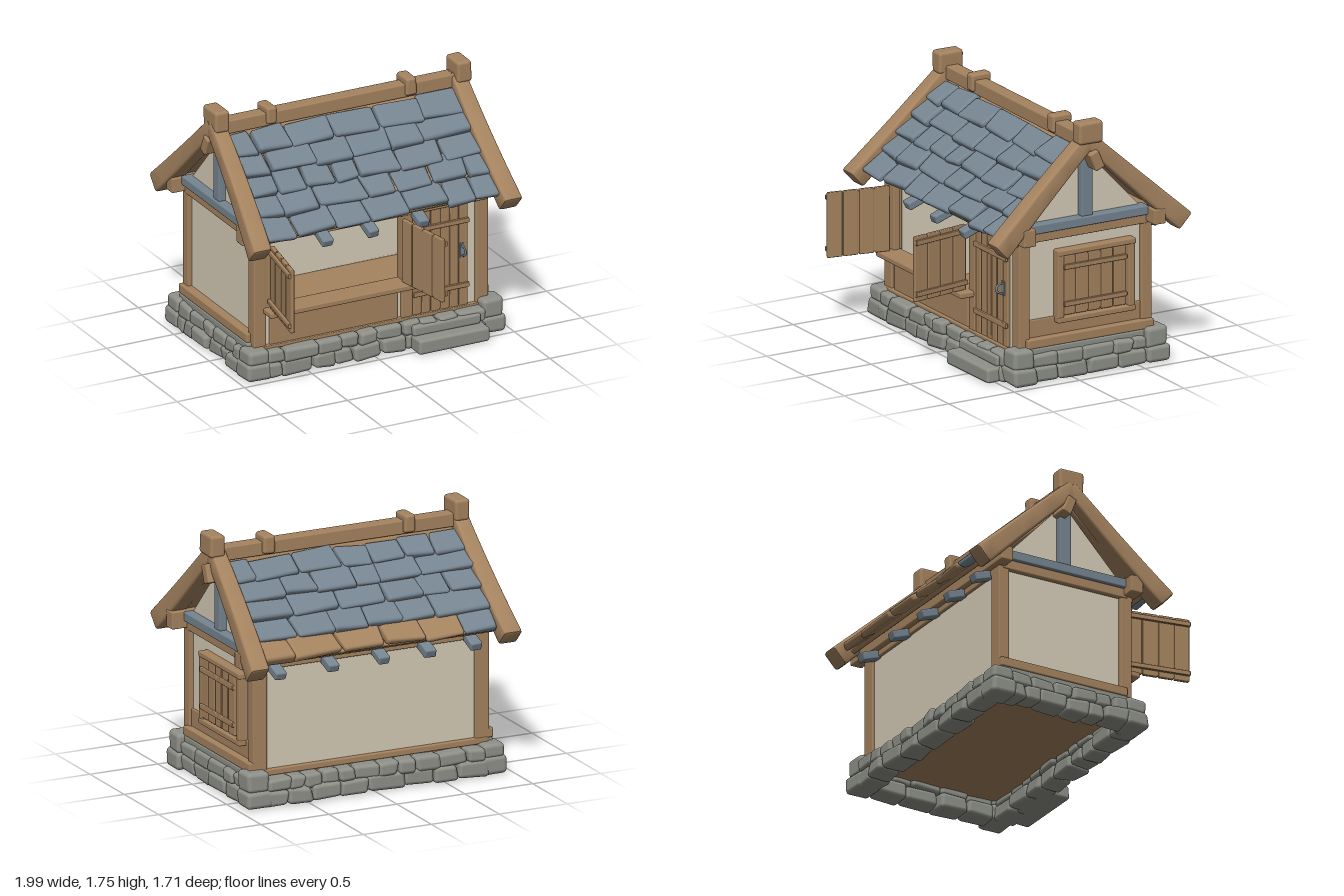
import * as THREE from 'three';
import { toCreasedNormals } from 'three/addons/utils/BufferGeometryUtils.js';
import { RoundedBoxGeometry } from 'three/addons/geometries/RoundedBoxGeometry.js';

const material = (name, color) => new THREE.MeshStandardMaterial({ name, color });

export function createModel() {
  const wood = material('wood', 0xa5835f);
  const plaster = material('plaster', 0xd6ccb7);
  const slate = material('slate', 0x768591);
  const stone = material('stone', 0x8f9189);

  const model = new THREE.Group();
  model.name = 'cottage';
  const part = (name, parent = model) => {
    const g = new THREE.Group();
    g.name = name;
    parent.add(g);
    return g;
  };
  let seed = 7;
  const rand = (a, b) => {
    seed = (seed * 16807) % 2147483647;
    return a + (b - a) * (seed / 2147483647);
  };

  // softly edged box between two corners
  const box = (name, mat, [x0, x1], [y0, y1], [z0, z1], parent = model) => {
    const s = [x1 - x0, y1 - y0, z1 - z0];
    const m = new THREE.Mesh(new RoundedBoxGeometry(...s, 1, Math.min(0.01, Math.min(...s) * 0.25)), mat);
    m.name = name;
    m.position.set((x0 + x1) / 2, (y0 + y1) / 2, (z0 + z1) / 2);
    parent.add(m);
    return m;
  };

  // rounded block whose eight corners are pushed about
  const block = (name, mat, w, h, d, r, wobble, parent) => {
    const geo = new RoundedBoxGeometry(w, h, d, 2, r);
    const corners = Array.from({ length: 8 }, () =>
      new THREE.Vector3(rand(-1, 1) * wobble, rand(-1, 1) * wobble * 0.6, rand(-1, 1) * wobble));
    const p = geo.attributes.position, v = new THREE.Vector3();
    for (let i = 0; i < p.count; i++) {
      v.fromBufferAttribute(p, i);
      const f = [v.x / w + 0.5, v.y / h + 0.5, v.z / d + 0.5];
      corners.forEach((c, k) => {
        const weight = f.reduce((t, a, j) => t * ((k >> j) & 1 ? a : 1 - a), 1);
        v.addScaledVector(c, weight);
      });
      p.setXYZ(i, v.x, v.y, v.z);
    }
    const m = new THREE.Mesh(geo, mat);
    m.name = name;
    parent.add(m);
    return m;
  };

  // foundation: two courses of stones on each side, stacked corner stones
  const foundation = part('foundation');
  const course = (length, y0, y1, depth, parent) => {
    const widths = [];
    for (let sum = 0; sum < length; sum += widths.at(-1)) widths.push(rand(0.12, 0.28));
    const k = length / widths.reduce((a, b) => a + b);
    let x = -length / 2;
    for (const raw of widths) {
      const w = raw * k;
      block('foundationStone', stone, w, y1 - y0, depth, 0.026, 0.016, parent)
        .position.set(x + w / 2, (y0 + y1) / 2, rand(-0.014, 0.008));
      x += w;
    }
  };
  [[0, 0.395, 0, 1.62], [0, -0.65, Math.PI, 1.62], [0.865, -0.125, Math.PI / 2, 0.88],
    [-0.865, -0.125, -Math.PI / 2, 0.88]].forEach(([x, z, turn, length]) => {
    const side = part('foundationSide', foundation);
    side.position.set(x, 0, z);
    side.rotation.y = turn;
    course(length, 0.01, 0.115, 0.16, side);
    course(length, 0.105, 0.2, 0.14, side);
  });
  for (const x of [-0.865, 0.865]) for (const z of [0.38, -0.635]) {
    const top = x > 0 ? 0.25 : 0.215;
    block('cornerStone', stone, 0.19, 0.12, 0.18, 0.03, 0.01, foundation).position.set(x, 0.066, z);
    block('cornerStone', stone, 0.16, top - 0.11, 0.16, 0.03, 0.01, foundation).position.set(x, (top + 0.11) / 2, z);
  }
  for (const x of [-0.86, 0.86])
    box('foundationLedge', stone, [x - 0.04, x + 0.04], [0.15, 0.235], [-0.62, 0.35], foundation);
  block('doorStep', stone, 0.52, 0.1, 0.2, 0.02, 0.006, foundation).position.set(0.52, 0.06, 0.476);
  block('doorStep', stone, 0.5, 0.07, 0.14, 0.018, 0.006, foundation).position.set(0.51, 0.14, 0.42);
  box('floor', wood, [-0.84, 0.84], [0.15, 0.21], [-0.62, 0.38]);

  // plaster walls
  const walls = part('walls');
  box('backWall', plaster, [-0.83, 0.83], [0.2, 1.02], [-0.61, -0.57], walls);
  for (const s of [-1, 1]) {
    box('sideWall', plaster, [s * 0.82 - 0.02, s * 0.82 + 0.02], [0.2, 1.05], [-0.59, 0.35], walls);
    const shape = new THREE.Shape([new THREE.Vector2(-0.46, 1.05), new THREE.Vector2(0.46, 1.05),
      new THREE.Vector2(0, 1.54)]);
    const gable = new THREE.Mesh(new THREE.ExtrudeGeometry(shape, { depth: 0.03, bevelEnabled: false }), plaster);
    gable.name = 'gable';
    gable.rotation.y = Math.PI / 2;
    gable.position.set(s * 0.82 - 0.015, 0, -0.12);
    walls.add(gable);
  }
  box('frontWallLeft', plaster, [-0.82, -0.74], [0.2, 0.46], [0.33, 0.365], walls);
  box('frontWallMiddle', plaster, [0.18, 0.24], [0.2, 0.46], [0.33, 0.365], walls);
  box('frontWallRight', plaster, [0.7, 0.8], [0.2, 0.97], [0.33, 0.365], walls);

  // timber frame
  const frame = part('timberFrame');
  for (const s of [-1, 1]) {
    const across = (a, b) => (s > 0 ? [a, b] : [-b, -a]);
    box('frontPost', wood, across(0.775, 0.87), [0.2, 0.98], [0.3, 0.385], frame);
    box('backPost', wood, across(0.765, 0.87), [0.2, 0.98], [-0.63, -0.55], frame);
    box('sideSill', wood, across(0.82, 0.9), [0.235, 0.3], [-0.63, 0.335], frame);
    box('sideHeader', wood, across(0.8, 0.875), [0.955, 1.03], [-0.6, 0.35], frame);
    box('tieBeam', slate, across(0.8, 0.9), [1.02, 1.085], [-0.59, 0.33], frame);
    box('kingPost', slate, across(0.81, 0.885), [1.08, 1.53], [-0.17, -0.085], frame);
  }
  box('frontPlate', wood, [-0.97, 0.985], [0.97, 1.09], [0.32, 0.415], frame);
  box('backPlate', wood, [-0.97, 0.985], [0.97, 1.075], [-0.67, -0.58], frame);
  box('frontHeader', wood, [-0.86, 0.86], [0.94, 0.985], [0.32, 0.4], frame);
  box('backHeader', wood, [-0.86, 0.86], [0.93, 0.98], [-0.63, -0.57], frame);
  box('backSill', wood, [-0.86, 0.86], [0.2, 0.245], [-0.635, -0.57], frame);
  box('frontSill', wood, [-0.86, 0.86], [0.19, 0.215], [0.32, 0.4], frame);
  box('doorPost', wood, [0.225, 0.305], [0.2, 0.97], [0.31, 0.39], frame);
  box('windowPost', wood, [-0.79, -0.745], [0.46, 0.97], [0.33, 0.385], frame);

  // serving counter
  box('counterPanel', wood, [-0.75, 0.2], [0.2, 0.45], [0.33, 0.38]);
  box('counterTop', wood, [-0.8, 0.295], [0.445, 0.485], [0.32, 0.49]);

  // boarded panel: upright planks with cross bars on the outer side
  const boards = (name, w, h, n, bars) => {
    const g = part(name);
    const step = w / n;
    for (let i = 0; i < n; i++)
      box('plank', wood, [i * step + 0.003, (i + 1) * step - 0.003], [0, h], [-0.014, 0.014], g);
    box('backing', wood, [0.01, w - 0.01], [0.01, h - 0.01], [-0.011, 0.006], g);
    for (const y of bars) box('crossBar', wood, [0, w], [y - 0.017, y + 0.017], [0.01, 0.032], g);
    return g;
  };
  const door = boards('door', 0.415, 0.74, 6, [0.15, 0.61]);
  door.position.set(0.305, 0.21, 0.37);
  const handle = new THREE.Mesh(new THREE.TorusGeometry(0.035, 0.007, 6, 8, Math.PI), slate);
  handle.name = 'doorHandle';
  handle.rotation.set(0, -Math.PI / 2, -Math.PI / 2, 'YXZ');
  handle.position.set(0.365, 0.4, 0.02);
  handle.scale.y = 1.5;
  door.add(handle);
  box('handlePlate', slate, [0.35, 0.38], [0.35, 0.45], [0.01, 0.022], door);

  const leftShutter = boards('leftShutter', 0.445, 0.45, 4, [0.055, 0.41]);
  leftShutter.position.set(-0.75, 0.485, 0.41);
  leftShutter.rotation.y = -1.74;
  const rightShutter = boards('rightShutter', 0.445, 0.45, 4, [0.055, 0.41]);
  rightShutter.position.set(0.295, 0.485, 0.85);
  rightShutter.rotation.y = 1.74;

  // side window with closed shutter
  const sideWindow = boards('sideShutter', 0.48, 0.41, 5, [0.08, 0.335]);
  sideWindow.position.set(0.885, 0.43, 0.065);
  sideWindow.rotation.y = Math.PI / 2;
  for (const y of [0.4, 0.86]) box('windowRail', wood, [0.83, 0.905], [y - 0.02, y + 0.02], [-0.49, 0.105]);
  for (const z of [0.085, -0.455]) box('windowStile', wood, [0.83, 0.9], [0.4, 0.86], [z - 0.03, z + 0.02]);
  box('lowerPanel', wood, [0.82, 0.852], [0.29, 0.42], [-0.56, 0.31]);

  // roof slopes: local +z runs down the slope, local +y points out
  const slopeAngle = 0.734;
  const rowEdges = [0.86, 0.7, 0.54, 0.385, 0.235];
  for (const s of [1, -1]) {
    const slope = part(s > 0 ? 'frontRoof' : 'backRoof');
    slope.position.set(0, 1.57, -0.12);
    slope.rotation.set(slopeAngle, s > 0 ? 0 : Math.PI, 0, 'YXZ');
    box('roofDeck', wood, [-0.87, 0.87], [-0.03, 0], [0, 0.83], slope);
    rowEdges.forEach((edge, row) => {
      let x = -0.865;
      while (x < 0.86) {
        let w = rand(0.17, 0.36);
        if (x + w > 0.72) w = 0.865 - x;
        const mid = x + w / 2;
        const bare = s < 0 && row === 0 && mid < 0.55;
        const length = row === 4 ? 0.18 : 0.2;
        const tile = block(bare ? 'woodTile' : 'slateTile', bare ? wood : slate, w - 0.006, 0.052, length, 0.02, 0.018, slope);
        tile.position.set(mid, 0.024, edge - length / 2 + rand(-0.012, 0.008));
        tile.rotation.set(-0.19 + rand(-0.05, 0.04), 0, rand(-0.03, 0.03));
        x += w;
      }
    });
    // rafter tails under the eaves
    for (const x of s > 0 ? [-0.38, -0.04, 0.33] : [-0.72, -0.38, -0.04, 0.33, 0.72]) {
      const tail = block('rafterTail', slate, 0.08, 0.06, 0.25, 0.012, 0.004, model);
      tail.position.set(x, 0.95, -0.12 + s * 0.505);
      tail.rotation.x = s * 0.35;
    }
  }

  // gable rafters: rounded beams that thicken and splay outwards toward the eaves
  const section = new THREE.Shape();
  [[0.34, 0.34], [-0.34, 0.34], [-0.34, -0.34], [0.34, -0.34]].forEach(([x, y], i) =>
    section.absarc(x, y, 0.16, i * Math.PI / 2, (i + 1) * Math.PI / 2));
  for (const sx of [-1, 1]) for (const sz of [-1, 1]) {
    const geo = new THREE.ExtrudeGeometry(section, {
      depth: 1, steps: 8, curveSegments: 3,
      bevelThickness: 0.02, bevelSize: 0.1, bevelOffset: -0.1, bevelSegments: 2,
    });
    const p = geo.attributes.position;
    for (let i = 0; i < p.count; i++) {
      const t = p.getZ(i);
      const out = p.getY(i) * (0.105 + 0.035 * t);
      p.setXYZ(i, sx * sz * (0.892 + 0.036 * t * t) + p.getX(i) * (0.11 + 0.025 * t),
        1.615 - 0.64 * t + out * 0.737, 0.69 * t + out * 0.676);
    }
    const rafter = new THREE.Mesh(toCreasedNormals(geo, 0.6), wood);
    rafter.name = 'gableRafter';
    rafter.rotation.y = sz > 0 ? 0 : Math.PI;
    rafter.position.z = -0.115;
    model.add(rafter);
  }

  // ridge beam, straps, end blocks and the purlin below
  const ridge = part('ridge');
  box('ridgeBeam', wood, [-0.9, 0.9], [1.56, 1.655], [-0.17, -0.07], ridge);
  for (const x of [-0.505, 0.53]) block('ridgeStrap', wood, 0.08, 0.125, 0.15, 0.02, 0.005, ridge).position.set(x, 1.635, -0.125);
  for (const x of [-0.888, 0.91]) block('ridgeEnd', wood, 0.11, 0.15, 0.185, 0.022, 0.004, ridge).position.set(x, 1.675, -0.115);
  const purlin = block('purlin', wood, 1.95, 0.13, 0.07, 0.012, 0.004, ridge);
  purlin.position.set(0.01, 1.485, -0.145);
  purlin.rotation.x = 0.4;

  return model;
}
